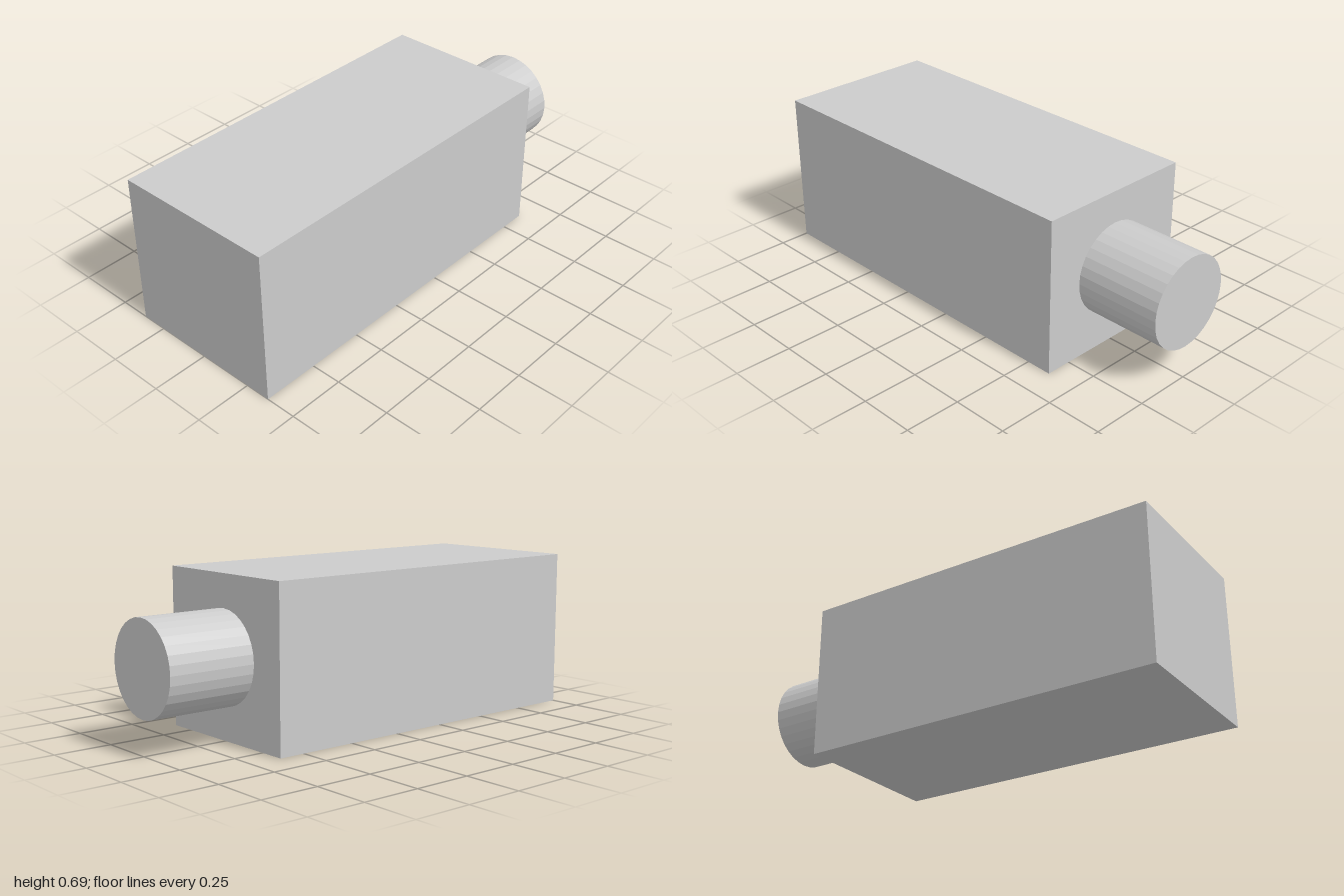
import * as THREE from 'three';

const BACK = -0.615; // back face of the body
const WIDTH = 0.728, HEIGHT = 0.686;

export function createModel() {
  const group = new THREE.Group();
  const material = new THREE.MeshStandardMaterial({ color: 0xcccccc, flatShading: true });

  // Long rectangular body
  const depth = 1 - BACK;
  const body = new THREE.Mesh(new THREE.BoxGeometry(WIDTH, HEIGHT, depth), material);
  body.name = 'body';
  body.position.set(0, HEIGHT / 2, BACK + depth / 2);
  group.add(body);

  // Round stub on the back, its axis along z
  const length = BACK + 1;
  const stubGeometry = new THREE.CylinderGeometry(0.2, 0.2, length, 32).rotateX(Math.PI / 2);
  const stub = new THREE.Mesh(stubGeometry, material);
  stub.name = 'rearStub';
  stub.position.set(0, 0.345, -1 + length / 2);
  group.add(stub);

  return group;
}
